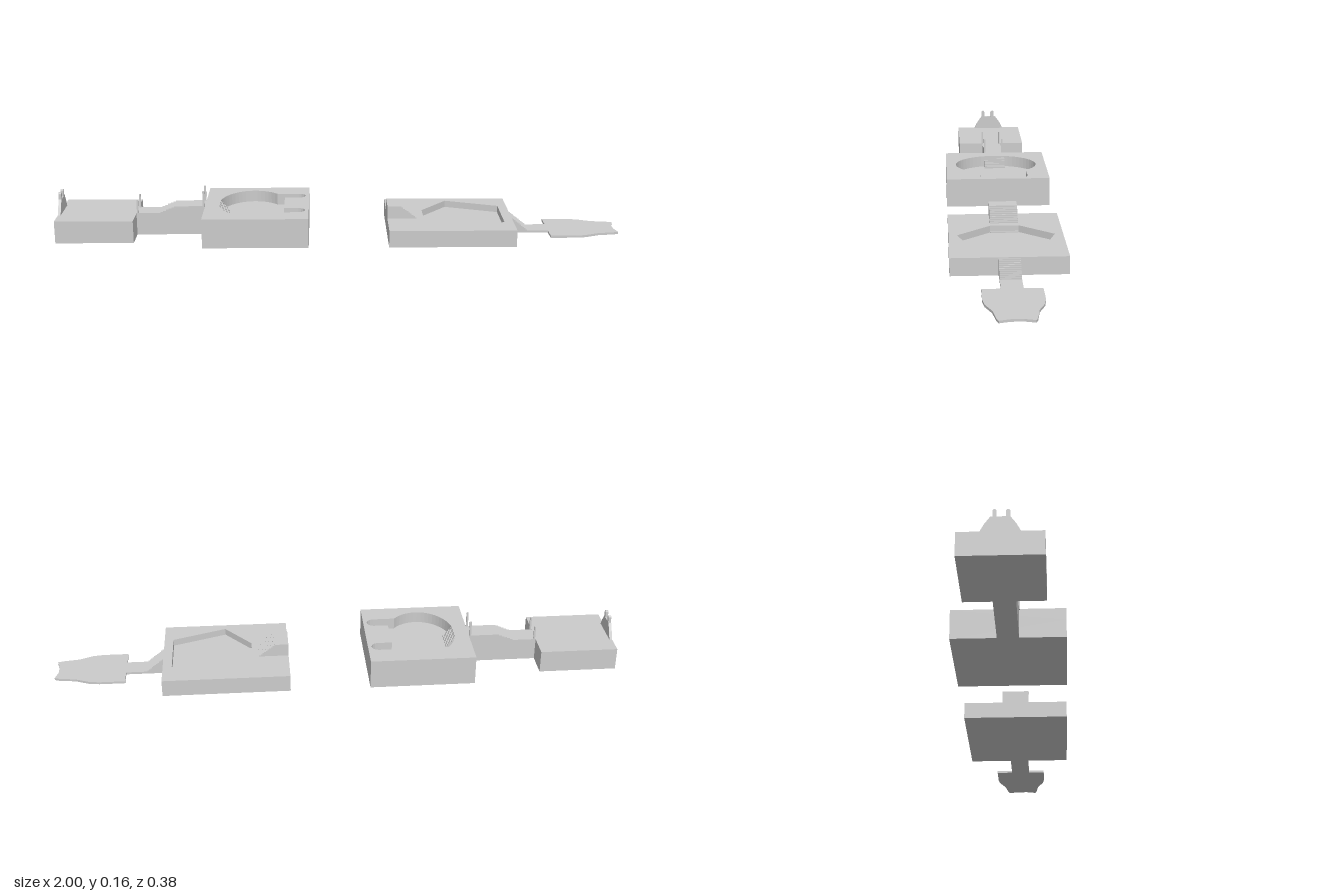
import * as THREE from 'three';

export function createModel() {
  const group = new THREE.Group();
  const material = new THREE.MeshStandardMaterial({ color: 0xcccccc, flatShading: true });

  const add = (name, geometry) => {
    const mesh = new THREE.Mesh(geometry, material);
    mesh.name = name;
    group.add(mesh);
  };

  // Axis-aligned block given by its extents; z is symmetric
  const block = (name, x0, x1, y0, y1, halfZ, zc = 0) => {
    const g = new THREE.BoxGeometry(x1 - x0, y1 - y0, halfZ * 2);
    add(name, g.translate((x0 + x1) / 2, (y0 + y1) / 2, zc));
  };

  // Flat slab from an [x, z] outline, with an optional hole
  const slab = (name, outline, y0, y1, hole) => {
    const vec = (pts) => pts.map(([x, z]) => new THREE.Vector2(x, -z));
    const shape = new THREE.Shape(vec(outline));
    if (hole) shape.holes.push(new THREE.Path(vec(hole)));
    const g = new THREE.ExtrudeGeometry(shape, { depth: y1 - y0, bevelEnabled: false });
    add(name, g.rotateX(-Math.PI / 2).translate(0, y0, 0));
  };

  const rect = (x0, x1, h) => [[x0, -h], [x1, -h], [x1, h], [x0, h]];

  // Completes an outline by mirroring its +z half
  const mirrored = (half) => [...half, ...half.map(([x, z]) => [x, -z]).reverse()];

  // Side profile in x, y extruded across z
  const profile = (name, pts, halfZ) => {
    const shape = new THREE.Shape(pts.map(([x, y]) => new THREE.Vector2(x, y)));
    const g = new THREE.ExtrudeGeometry(shape, { depth: halfZ * 2, bevelEnabled: false });
    add(name, g.translate(0, 0, -halfZ));
  };

  // Stepped line between two points, n treads
  const steps = (x0, y0, x1, y1, n) => {
    const pts = [];
    for (let i = 0; i < n; i++) {
      const x = x0 + ((x1 - x0) * i) / n;
      pts.push([x, y0 + ((y1 - y0) * i) / n], [x, y0 + ((y1 - y0) * (i + 1)) / n]);
    }
    pts.push([x1, y1]);
    return pts;
  };

  // Low terrace and stepped walkway
  block('lowTerrace', -1, -0.725, 0, 0.08, 0.13);
  profile('lowerWalkway', [[-0.725, 0], [-0.48, 0], [-0.48, 0.105],
    ...steps(-0.64, 0.08, -0.58, 0.105, 6).reverse(), [-0.725, 0.08]], 0.036);

  // Gate with two rounded prongs
  const gate = new THREE.Shape();
  gate.moveTo(-0.06, 0.08);
  gate.lineTo(0.06, 0.08);
  gate.lineTo(0.047, 0.105);
  gate.lineTo(0.029, 0.13);
  for (const c of [0.023, -0.016]) {
    const cc = c > 0 ? 0.023 : -0.017;
    gate.lineTo(cc + 0.006, 0.13);
    gate.lineTo(cc + 0.006, 0.149);
    gate.absarc(cc, 0.149, 0.006, 0, Math.PI, false);
    gate.lineTo(cc - 0.006, 0.13);
  }
  gate.lineTo(-0.029, 0.13);
  gate.lineTo(-0.047, 0.105);
  gate.closePath();
  const gateGeo = new THREE.ExtrudeGeometry(gate, { depth: 0.01, bevelEnabled: false, curveSegments: 6 });
  add('prongedGate', gateGeo.rotateY(-Math.PI / 2).translate(-0.99, 0, 0));

  // Slim posts either side of the walkway
  for (const z of [-0.033, 0.036]) {
    block('walkwayPost', -0.723, -0.717, 0.08, 0.13, 0.003, z);
    block('pitPost', -0.488, -0.481, 0.1, 0.16, 0.003, z);
  }

  // High terrace with an oval pit and two finger-shaped bays
  const pit = [];
  for (let i = 0; i <= 20; i++) {
    const a = Math.PI * (1 - (i / 20) * 0.74);
    pit.push([Math.max(-0.428, -0.31 + 0.122 * Math.cos(a)), 0.153 * Math.sin(a)]);
  }
  for (let i = 0; i <= 8; i++) {
    const a = Math.PI / 2 - (Math.PI * i) / 8;
    pit.push([-0.147 + 0.024 * Math.cos(a), 0.087 + 0.024 * Math.sin(a)]);
  }
  pit.push([-0.198, 0.063]);
  pit.shift();
  block('highTerraceBase', -0.48, -0.11, 0, 0.064, 0.19);
  slab('highTerraceRim', rect(-0.48, -0.11, 0.19), 0.064, 0.105, mirrored(pit));
  profile('pitStairs', [[-0.43, 0.064], ...steps(-0.43, 0.105, -0.393, 0.064, 8)], 0.04);

  // Second terrace with a faceted basin
  block('basinBase', 0.17, 0.615, 0, 0.036, 0.19);
  slab('basinRim', rect(0.17, 0.615, 0.19), 0.036, 0.06,
    mirrored([[0.3, 0.048], [0.395, 0.162], [0.583, 0.095]]));
  profile('basinStairs', [[0.17, 0.036], [0.17, 0.105],
    ...steps(0.22, 0.105, 0.312, 0.036, 15)], 0.048);

  // Descending walkway to the thin end plate
  profile('lowWalkway', [[0.61, 0], [0.61, 0.06],
    ...steps(0.615, 0.06, 0.68, 0.008, 12), [0.76, 0.008], [0.76, 0]], 0.035);
  slab('endPlate', mirrored([[0.75, 0.095], [0.84, 0.095], [0.875, 0.09], [0.925, 0.069],
    [0.985, 0.06], [1, 0.054], [0.99, 0.02]]), 0, 0.008);

  return group;
}
